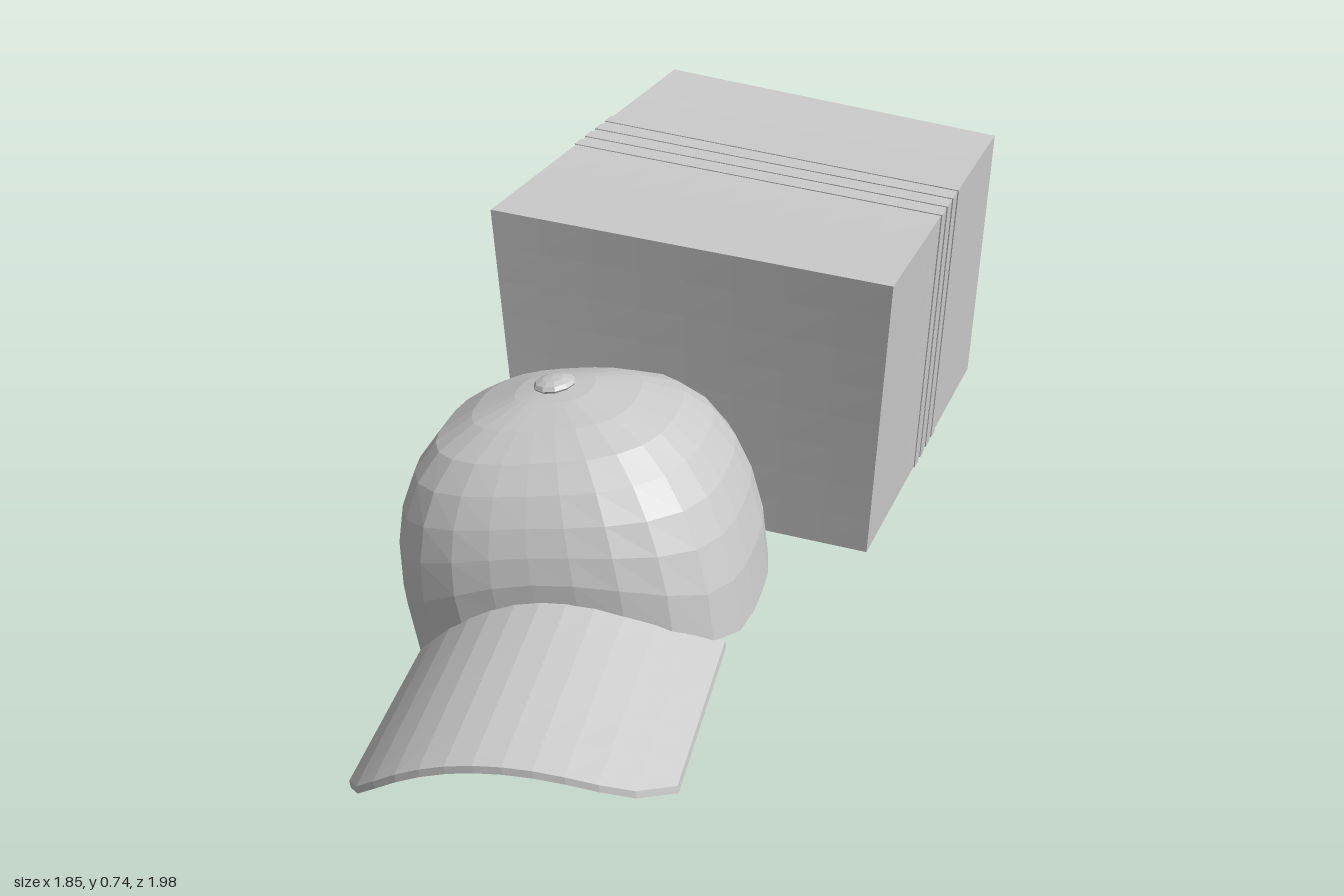
import * as THREE from 'three';

const grey = new THREE.MeshStandardMaterial({ color: 0xcccccc, flatShading: true, side: THREE.DoubleSide });

function addMesh(parent, geometry, name) {
  const mesh = new THREE.Mesh(geometry, grey);
  mesh.name = name;
  parent.add(mesh);
  return mesh;
}

// Move every vertex of a geometry by a rule
function deform(geometry, rule) {
  const p = geometry.attributes.position;
  const v = new THREE.Vector3();
  for (let i = 0; i < p.count; i++) {
    v.fromBufferAttribute(p, i);
    rule(v);
    p.setXYZ(i, v.x, v.y, v.z);
  }
  geometry.computeVertexNormals();
  return geometry;
}

// Corners of the slightly skewed carton, in order: back, left, front, right
const V = (x, y, z) => new THREE.Vector3(x, y, z);
const bottom = [V(0.3, 0.06, -0.94), V(0.915, 0.045, -0.42), V(0.31, 0.055, 0.26), V(-0.33, 0.05, -0.31)];
const top = [V(0.31, 0.745, -1.0), V(0.905, 0.725, -0.365), V(0.315, 0.745, 0.305), V(-0.35, 0.725, -0.38)];

// Map a unit cube (-0.5..0.5) onto the carton
function skew(v) {
  const level = (c) => {
    const a = c[0].clone().lerp(c[1], v.x + 0.5);
    return a.lerp(c[3].clone().lerp(c[2], v.x + 0.5), v.z + 0.5);
  };
  v.copy(level(bottom).lerp(level(top), v.y + 0.5));
}

function createCarton() {
  const carton = new THREE.Group();
  carton.name = 'carton';
  addMesh(carton, deform(new THREE.BoxGeometry(1, 1, 1, 8, 8, 8), skew), 'cartonBody');
  // Thin tape strips wrapped round the middle
  for (let i = 0; i < 4; i++) {
    const strip = new THREE.BoxGeometry(1.006, 1.006, 0.035, 8, 8, 1);
    strip.translate(0, 0, -0.11 + i * 0.055);
    addMesh(carton, deform(strip, skew), 'tapeStrip');
  }
  return carton;
}

const RX = 0.375, RZ = 0.335, HEIGHT = 0.5, POWER = 2.8;

// Height of the arch where the brim meets the crown
const arch = (x) => Math.max(0, 1 - ((x - 0.01) / 0.33) ** 2);

function createCap() {
  const cap = new THREE.Group();
  cap.name = 'cap';

  // Crown: rounded-square dome with a folded rim, arched over the brim
  const profile = [
    [0.93, 0.09], [0.95, 0], [0.99, 0], [1, 0.12], [0.97, 0.22], [0.91, 0.3],
    [0.81, 0.37], [0.67, 0.425], [0.46, 0.465], [0.22, 0.49], [0, 0.5],
  ].map(([r, h]) => new THREE.Vector2(r, h));
  const crown = deform(new THREE.LatheGeometry(profile, 28), (v) => {
    const r = Math.hypot(v.x, v.z);
    if (r < 1e-4) return;
    const c = Math.abs(v.x / r), s = Math.abs(v.z / r);
    const k = Math.pow(c ** POWER + s ** POWER, -1 / POWER);
    v.x *= k * RX;
    v.z *= k * RZ;
    if (v.z > 0) v.y += 0.17 * arch(v.x) * (1 - v.y / HEIGHT) ** 2;
  });
  addMesh(cap, crown, 'crown');

  // Brim: curved plate reaching forward from the crown
  const brim = deform(new THREE.BoxGeometry(2, 0.016, 1, 12, 1, 5), (v) => {
    const u = v.x, t = v.z + 0.5;
    const x = 0.01 + 0.325 * u;
    const root = RZ * 0.97 * Math.pow(1 - Math.abs(x / RX) ** POWER, 1 / POWER);
    const tip = 0.79 - 0.07 * u * u - 0.07 * u ** 8;
    v.x = x;
    v.z = THREE.MathUtils.lerp(root, tip, t);
    v.y += THREE.MathUtils.lerp(0.17, 0.14, t) * (1 - u * u) - 0.03 * t;
  });
  addMesh(cap, brim, 'brim');

  // Button on top
  const button = addMesh(cap, new THREE.SphereGeometry(0.045, 10, 6), 'button');
  button.scale.y = 0.35;
  button.position.y = HEIGHT;

  // The cap leans and faces front-right
  cap.rotation.set(-0.08, -0.576, 0.165, 'YXZ');
  cap.position.set(-0.318, 0.075, 0.223);
  return cap;
}

export function createModel() {
  const model = new THREE.Group();
  model.name = 'capAndCarton';
  model.add(createCarton(), createCap());
  return model;
}
